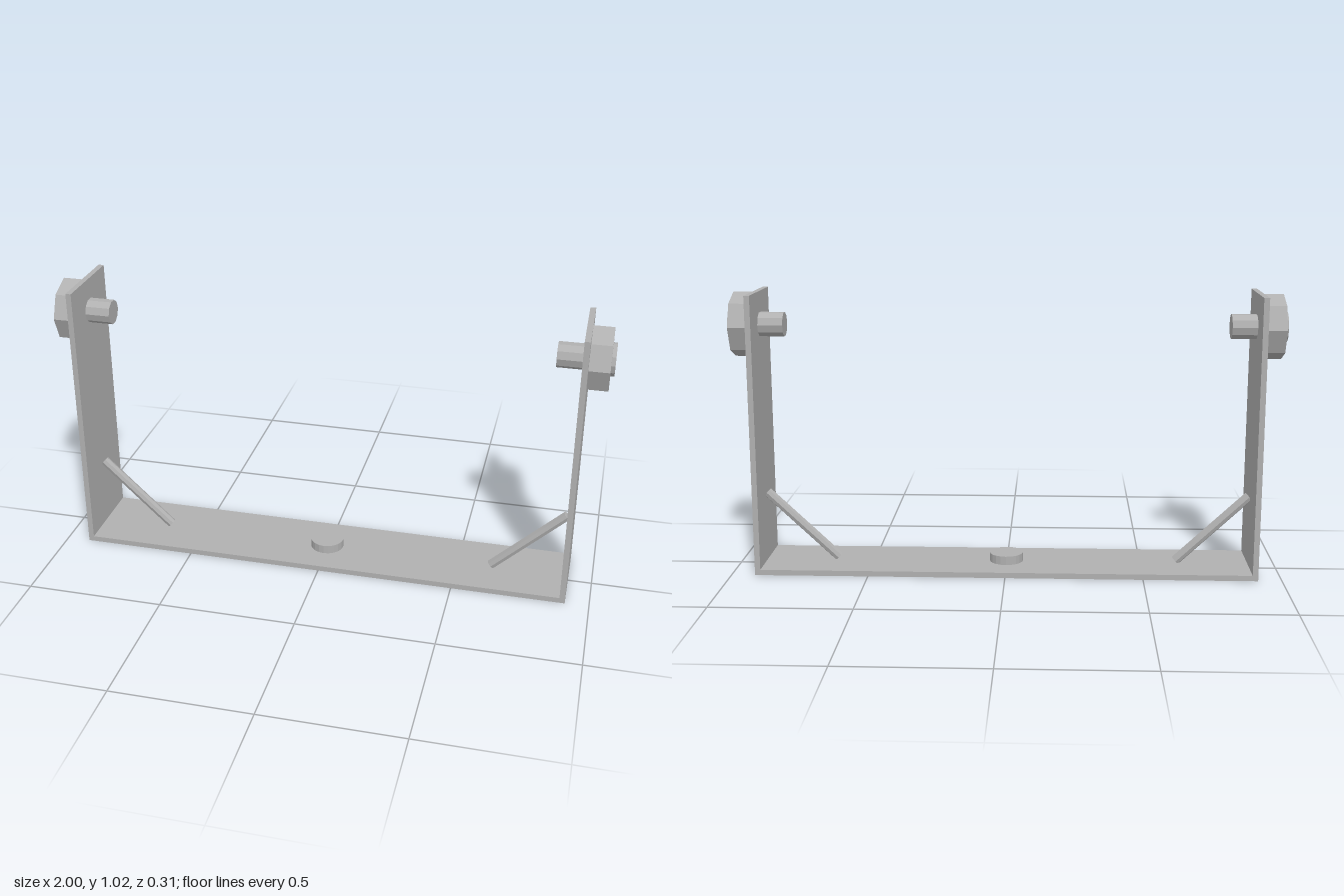
import * as THREE from 'three';

export function createModel() {
  const group = new THREE.Group();
  const steel = new THREE.MeshStandardMaterial({ color: 0xb0b0b0 });
  steel.name = 'steel grey';
  steel.flatShading = true;

  const add = (name, geometry, x, y, z = 0) => {
    const mesh = new THREE.Mesh(geometry, steel);
    mesh.name = name;
    mesh.position.set(x, y, z);
    group.add(mesh);
    return mesh;
  };

  // Cylinder lying along x between two distances from the centre
  const rod = (name, radius, sides, x0, x1, y, side) => {
    const mesh = add(name, new THREE.CylinderGeometry(radius, radius, x1 - x0, sides), side * (x0 + x1) / 2, y);
    mesh.rotation.z = -side * Math.PI / 2;
  };

  // Flat base strip and the mounting button in its middle
  const depth = 0.306, thick = 0.02, outer = 0.914, pivotY = 0.903;
  add('base', new THREE.BoxGeometry(outer * 2, thick, depth), 0, thick / 2);
  add('mountButton', new THREE.CylinderGeometry(0.062, 0.062, 0.035, 20), 0, 0.0345);

  for (const side of [1, -1]) {
    const prefix = side > 0 ? 'left' : 'right';

    // Upright arm
    const armHeight = 1.022 - thick;
    add(prefix + 'Arm', new THREE.BoxGeometry(thick, armHeight, depth), side * (outer - thick / 2), thick + armHeight / 2);

    // Octagonal knob, its round cap and the inner pivot pin
    rod(prefix + 'Knob', 0.117, 8, outer, 0.986, pivotY, side);
    rod(prefix + 'KnobCap', 0.058, 12, 0.98, 1.0, pivotY, side);
    rod(prefix + 'PivotPin', 0.045, 10, 0.804, outer - thick / 2, pivotY, side);

    // Diagonal brace between arm and base
    const top = new THREE.Vector3(side * 0.89, 0.275, 0);
    const foot = new THREE.Vector3(side * 0.628, 0.027, 0);
    const dir = top.clone().sub(foot);
    const mid = top.clone().add(foot).multiplyScalar(0.5);
    const brace = add(prefix + 'Brace', new THREE.CylinderGeometry(0.018, 0.018, dir.length(), 8), mid.x, mid.y);
    brace.quaternion.setFromUnitVectors(new THREE.Vector3(0, 1, 0), dir.normalize());
  }
  return group;
}
